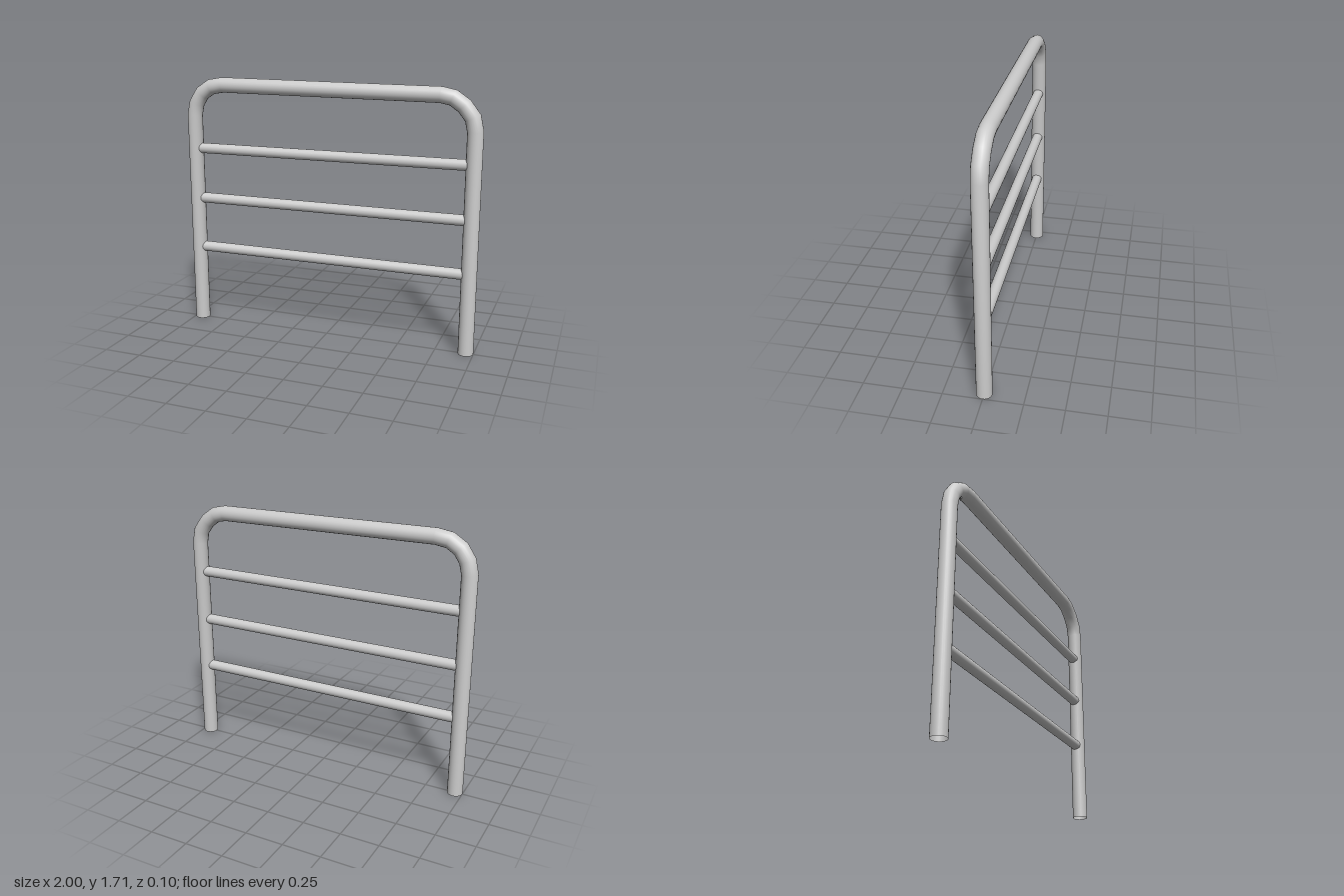
import * as THREE from 'three';

const material = new THREE.MeshStandardMaterial({ color: 0xcccccc, side: THREE.DoubleSide });

// Open round tube with mitred joints along a polyline in the xy plane
function bentTube(points, radius, sides) {
  const path = points.map(([x, y]) => new THREE.Vector2(x, y));
  const positions = [], normals = [], index = [];
  path.forEach((p, i) => {
    const before = p.clone().sub(path[Math.max(i - 1, 0)]).normalize();
    const after = path[Math.min(i + 1, path.length - 1)].clone().sub(p).normalize();
    const t = before.clone().add(after).normalize();
    const mitre = radius / Math.max(t.dot(before), t.dot(after));
    for (let j = 0; j < sides; j++) {
      const a = (j / sides) * Math.PI * 2, c = Math.cos(a), s = Math.sin(a);
      positions.push(p.x - t.y * c * mitre, p.y + t.x * c * mitre, s * radius);
      normals.push(-t.y * c, t.x * c, s);
      if (i < path.length - 1) {
        const k = (j + 1) % sides, row = i * sides, next = row + sides;
        index.push(row + j, row + k, next + j, row + k, next + k, next + j);
      }
    }
  });
  const geometry = new THREE.BufferGeometry();
  geometry.setAttribute('position', new THREE.Float32BufferAttribute(positions, 3));
  geometry.setAttribute('normal', new THREE.Float32BufferAttribute(normals, 3));
  geometry.setIndex(index);
  return geometry;
}

export function createModel() {
  const group = new THREE.Group();
  group.name = 'railing';

  // Outer frame: two posts, two bends and a slightly sloping top rail
  const frame = new THREE.Mesh(bentTube([
    [-0.95, 0], [-0.95, 1.455], [-0.932, 1.534], [-0.888, 1.6], [-0.82, 1.644], [-0.735, 1.658],
    [0.735, 1.646], [0.81, 1.63], [0.878, 1.583], [0.932, 1.513], [0.95, 1.43], [0.95, 0],
  ], 0.05, 24), material);
  frame.name = 'outerFrame';
  group.add(frame);

  // Three horizontal bars running between the posts
  const barGeometry = new THREE.CylinderGeometry(0.035, 0.035, 1.86, 24).rotateZ(Math.PI / 2);
  [0.53, 0.88, 1.227].forEach((y, i) => {
    const bar = new THREE.Mesh(barGeometry, material);
    bar.name = `crossBar${i + 1}`;
    bar.position.y = y;
    group.add(bar);
  });

  return group;
}
